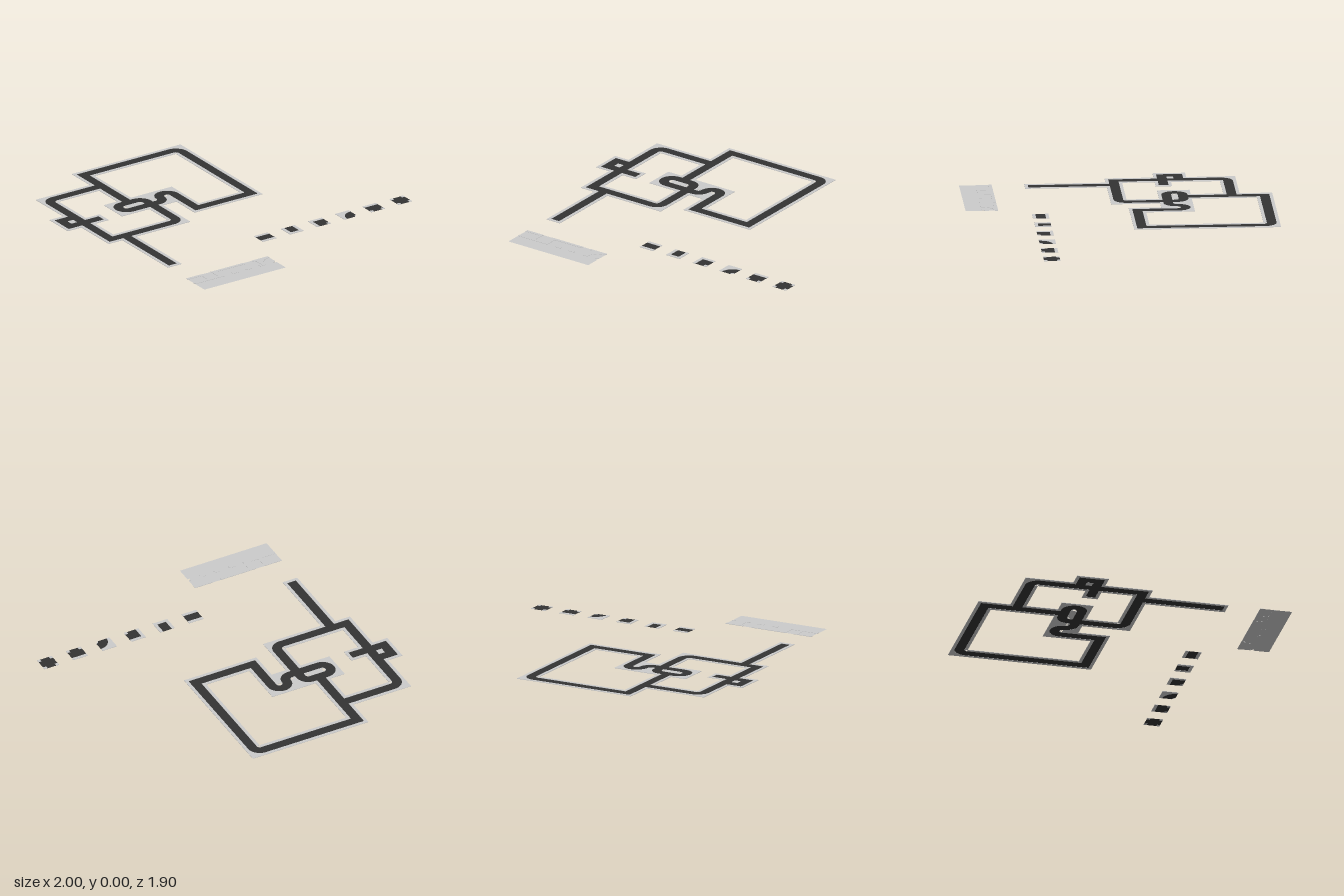
import * as THREE from 'three';
import { mergeGeometries } from 'three/addons/utils/BufferGeometryUtils.js';

const T = 0.1;         // tile size
const R = 0.03;        // half road width
const K = 0.02;        // kerb width
const H = 0.003;       // kerb height
const ROAD_Y = 0.001;
const E = 1, S = 2, W = 4, N = 8;
const SIDES = [[E, 1, 0], [S, 0, 1], [W, -1, 0], [N, 0, -1]];
const CURVE_TURNS = { 3: 0, 9: 1, 12: 2, 6: 3 };

const box = (w, d, x, z) => new THREE.BoxGeometry(w, H, d).translate(x, H / 2, z).toNonIndexed();
const flat = (w, d, x, z) =>
  new THREE.PlaneGeometry(w, d).rotateX(-Math.PI / 2).translate(x, ROAD_Y, z).toNonIndexed();
const place = (list, x, z) => list.map(g => g.translate(x, 0, z));

// Square-cornered tile: kerb at the corners and on every closed side
function squareTile(mask) {
  const kerbs = [], roads = [flat(2 * R, 2 * R, 0, 0)];
  const c = T / 2 - K / 2;
  for (const sx of [-1, 1]) for (const sz of [-1, 1]) kerbs.push(box(K, K, sx * c, sz * c));
  for (const [bit, dx, dz] of SIDES) {
    const make = mask & bit ? flat : box;
    const piece = make(dx ? K : 2 * R, dz ? K : 2 * R, dx * c, dz * c);
    (mask & bit ? roads : kerbs).push(piece);
  }
  return { kerbs, roads };
}

// Rounded bend joining two neighbouring sides
function curveTile(mask) {
  const h = T / 2, outer = h + R, inner = h - R;
  const outside = new THREE.Shape();
  outside.moveTo(-h, -h);
  outside.lineTo(h, -h);
  outside.lineTo(h, h - outer);
  outside.absarc(h, h, outer, 1.5 * Math.PI, Math.PI, true);
  outside.lineTo(-h, h);
  const inside = new THREE.Shape();
  inside.moveTo(h, h);
  inside.absarc(h, h, inner, Math.PI, 1.5 * Math.PI, false);
  const lane = new THREE.Shape();
  lane.absarc(h, h, outer, Math.PI, 1.5 * Math.PI, false);
  lane.absarc(h, h, inner, 1.5 * Math.PI, Math.PI, true);

  const turn = CURVE_TURNS[mask] * Math.PI / 2;
  const kerbs = [outside, inside].map(s =>
    new THREE.ExtrudeGeometry(s, { depth: H, bevelEnabled: false, curveSegments: 10 })
      .rotateX(Math.PI / 2).translate(0, H, 0).rotateY(turn));
  // Flip the lane so that its front faces up
  const road = new THREE.ShapeGeometry(lane, 10).scale(1, -1, 1);
  const index = road.index.array;
  for (let i = 0; i < index.length; i += 3) [index[i], index[i + 1]] = [index[i + 1], index[i]];
  const laid = road.rotateX(-Math.PI / 2).translate(0, ROAD_Y, 0).rotateY(turn).toNonIndexed();
  laid.computeVertexNormals();
  return { kerbs, roads: [laid] };
}

// Merge tiles into one kerb mesh and one road mesh
function buildTiles(name, tiles, roadColor) {
  const kerbs = [], roads = [];
  for (const { x, z, mask, curve } of tiles) {
    const t = curve ? curveTile(mask) : squareTile(mask);
    kerbs.push(...place(t.kerbs, x, z));
    roads.push(...place(t.roads, x, z));
  }
  const group = new THREE.Group();
  group.name = name;
  const kerbMesh = new THREE.Mesh(mergeGeometries(kerbs), new THREE.MeshStandardMaterial({ color: 0xcccccc }));
  kerbMesh.name = name + 'Kerbs';
  const roadMesh = new THREE.Mesh(mergeGeometries(roads),
    new THREE.MeshStandardMaterial({ color: roadColor, side: THREE.DoubleSide }));
  roadMesh.name = name + 'Surface';
  group.add(kerbMesh, roadMesh);
  return group;
}

// Walk grid routes, recording which sides of each cell are open
function networkTiles(routes, curves) {
  const cells = new Map();
  const open = (c, r, bit) => cells.set(`${c},${r}`, (cells.get(`${c},${r}`) || 0) | bit);
  for (const route of routes) {
    for (let i = 1; i < route.length; i++) {
      let [c, r] = route[i - 1];
      const [c1, r1] = route[i];
      const dx = Math.sign(c1 - c), dz = Math.sign(r1 - r);
      const ahead = dx > 0 ? E : dx < 0 ? W : dz > 0 ? S : N;
      const back = { [E]: W, [W]: E, [S]: N, [N]: S }[ahead];
      while (c !== c1 || r !== r1) {
        open(c, r, ahead);
        c += dx;
        r += dz;
        open(c, r, back);
      }
    }
  }
  return [...cells].map(([key, mask]) => {
    const [c, r] = key.split(',').map(Number);
    return { x: -0.95 + T * c, z: -0.9 + T * r, mask, curve: curves.includes(key) };
  });
}

export function createModel() {
  const model = new THREE.Group();
  model.name = 'roadTileSet';
  const ASPHALT = 0x333333, GREY = 0xcccccc;

  // Connected road layout (column, row)
  const routes = [
    [[5, 0], [12, 0], [12, 8], [8, 8], [8, 5], [7, 5], [7, 6], [4, 6], [4, 5], [6, 5], [6, 9], [1, 9], [1, 2], [5, 2]],
    [[5, 0], [5, 5]],
    [[1, 5], [0, 5], [0, 6], [2, 6]],
    [[2, 9], [2, 14]],
  ];
  const curves = ['12,0', '8,5', '7,5', '7,6', '4,6', '4,5', '6,5', '6,9', '1,2'];
  model.add(buildTiles('roadNetwork', networkTiles(routes, curves), ASPHALT));

  // Row of single sample tiles: straight, end, corner, bend, junction, crossing
  const samples = [E | W, N, E | S, E | S, E | S | W, 15].map((mask, i) =>
    ({ x: -0.05 + 0.2 * i, z: 0.5, mask, curve: i === 3 }));
  model.add(buildTiles('sampleTiles', samples, ASPHALT));

  // Unpainted tiles with a plain strip in front of them
  const blanks = [E | W, N, E | S, E | S | W, 15, E | S].map((mask, i) =>
    ({ x: -0.75 + T * i, z: 0.8, mask, curve: i === 5 }));
  model.add(buildTiles('unpaintedTiles', blanks, GREY));
  const strip = new THREE.Mesh(flat(0.6, T, -0.5, 0.9),
    new THREE.MeshStandardMaterial({ color: GREY, side: THREE.DoubleSide }));
  strip.name = 'plainStrip';
  model.add(strip);

  return model;
}
